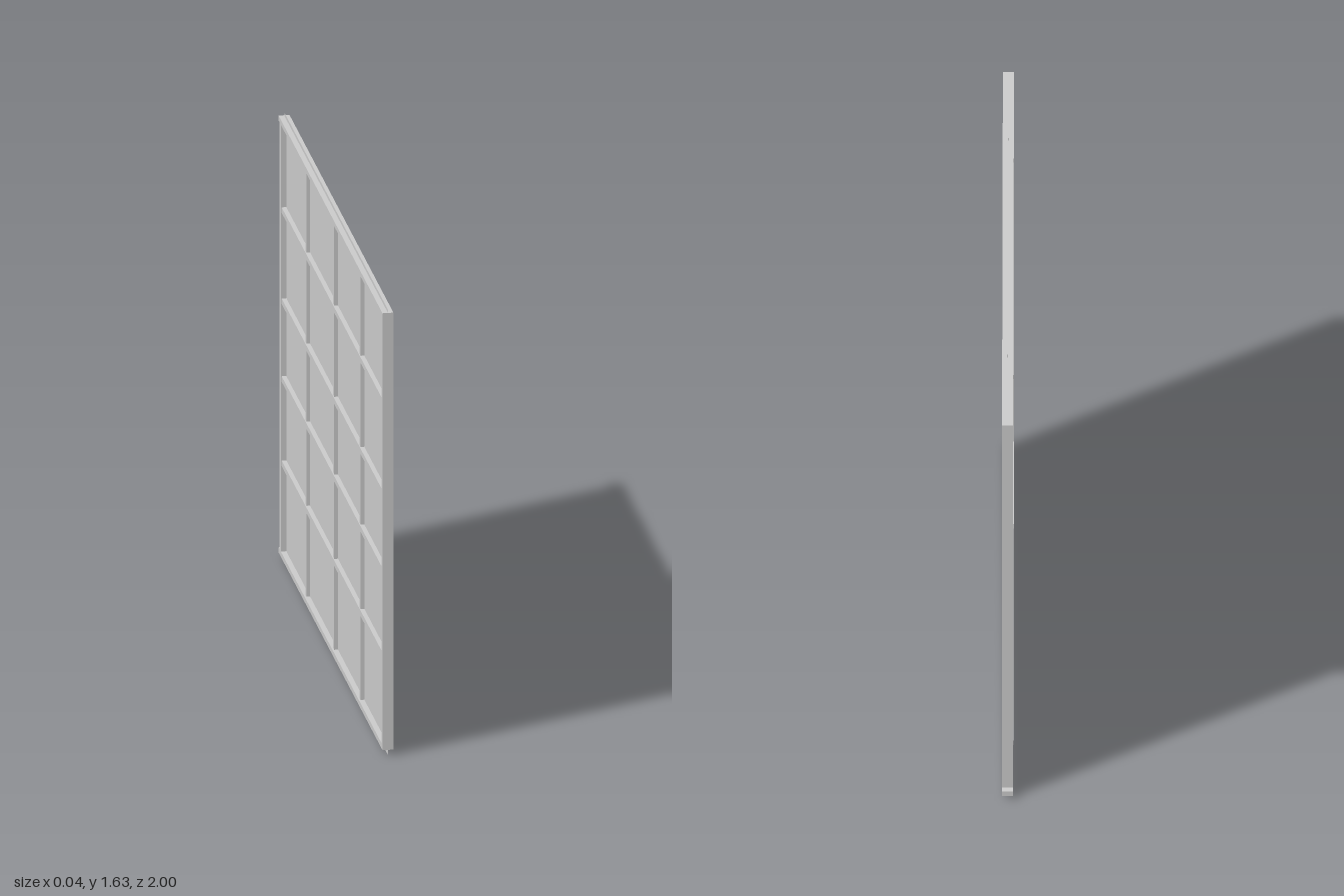
import * as THREE from 'three';

export function createModel() {
  const group = new THREE.Group();
  const material = new THREE.MeshStandardMaterial({ color: 0xcccccc, flatShading: true });
  const sheetMaterial = new THREE.MeshStandardMaterial({ color: 0xcccccc, side: THREE.DoubleSide });

  // Box given by its lower and upper limits on each axis
  function bar(name, [x0, x1], [y0, y1], [z0, z1]) {
    const mesh = new THREE.Mesh(new THREE.BoxGeometry(x1 - x0, y1 - y0, z1 - z0), material);
    mesh.position.set((x0 + x1) / 2, (y0 + y1) / 2, (z0 + z1) / 2);
    mesh.name = name;
    group.add(mesh);
  }

  const depth = [-0.019, 0.019];
  const inner = [0.038, 1.597];

  // Thin infill sheet, reaching slightly past the rails
  const panel = new THREE.Mesh(new THREE.PlaneGeometry(1.99, 1.627), sheetMaterial);
  panel.rotation.y = Math.PI / 2;
  panel.position.set(0, 1.627 / 2, 0.005);
  panel.name = 'panel';
  group.add(panel);

  // Outer frame
  bar('bottomRail', depth, [0.019, 0.038], [-1, 1]);
  bar('topRail', depth, [1.597, 1.615], [-1, 1]);
  bar('frontStile', depth, inner, [0.979, 1]);
  bar('backStile', depth, inner, [-0.978, -0.957]);

  // Vertical glazing bars
  for (const z of [0.535, 0.028, -0.509]) {
    bar('verticalBar', [-0.013, 0.013], inner, [z - 0.01, z + 0.01]);
  }

  // Horizontal glazing bars, set towards one face
  for (const y of [0.36, 0.952, 0.668, 1.285]) {
    bar('horizontalBar', [-0.016, 0.006], [y - 0.01, y + 0.01], [-0.957, 0.979]);
  }
  return group;
}
